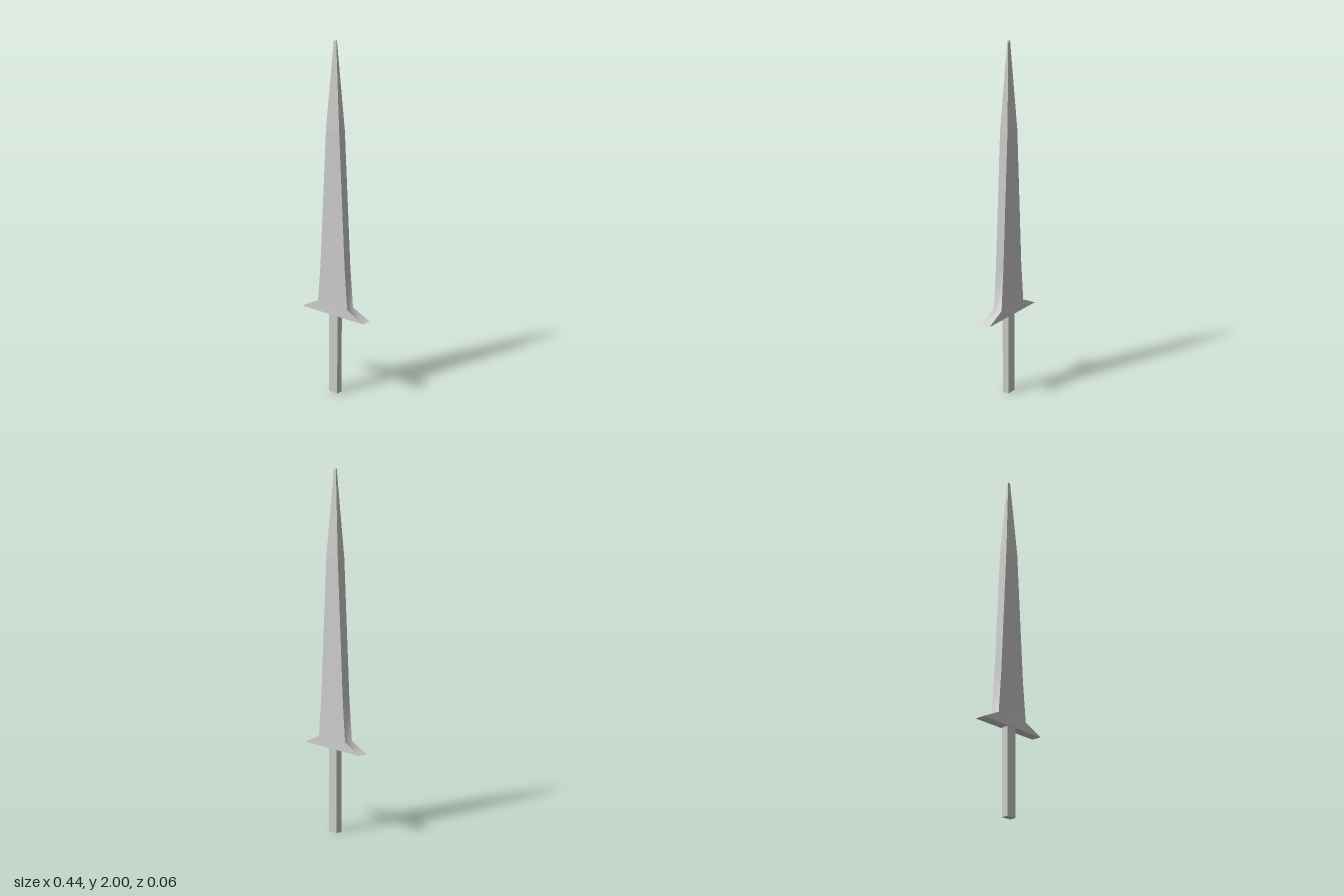
import * as THREE from 'three';

const material = new THREE.MeshStandardMaterial({ color: 0xcccccc });

// Lofts rectangular sections [y, halfWidth, halfDepth]; each of the four sides is
// smooth along its length and sharp at its corners.
function loft(name, sections, capBottom = false, capTop = false) {
  const pos = [], index = [];
  const corners = ([y, w, d]) => [[w, y, d], [w, y, -d], [-w, y, -d], [-w, y, d]];
  for (let s = 0; s < 4; s++) {
    const base = pos.length / 3;
    sections.forEach((sec, i) => {
      const c = corners(sec);
      pos.push(...c[s], ...c[(s + 1) % 4]);
      if (i === 0) return;
      const a = base + 2 * (i - 1);
      index.push(a, a + 1, a + 3, a, a + 3, a + 2);
    });
  }
  const cap = (sec, up) => {
    const b = pos.length / 3;
    pos.push(...corners(sec).flat());
    index.push(...(up ? [0, 1, 2, 0, 2, 3] : [0, 2, 1, 0, 3, 2]).map((k) => b + k));
  };
  if (capBottom) cap(sections[0], false);
  if (capTop) cap(sections[sections.length - 1], true);

  const geometry = new THREE.BufferGeometry();
  geometry.setAttribute('position', new THREE.Float32BufferAttribute(pos, 3));
  geometry.setIndex(index);
  geometry.computeVertexNormals();
  const mesh = new THREE.Mesh(geometry, material);
  mesh.name = name;
  return mesh;
}

export function createModel() {
  const group = new THREE.Group();
  group.name = 'dagger';

  // Section shared by neighbouring parts
  const bladeBase = [0.76, 0.086, 0.025];
  const shoulder = [1.53, 0.045, 0.024];

  // Square handle
  const handle = new THREE.Mesh(new THREE.BoxGeometry(0.06, 0.48, 0.04), material);
  handle.name = 'handle';
  handle.position.y = 0.24;
  group.add(handle);

  // Flared guard sweeping up into the blade
  group.add(loft('guard', [[0.48, 0.22, 0.028], [0.535, 0.105, 0.026], bladeBase], true));

  // Long tapering blade and its sharper point
  group.add(loft('blade', [bladeBase, shoulder]));
  group.add(loft('bladePoint', [shoulder, [2, 0.008, 0.003]], false, true));

  return group;
}
